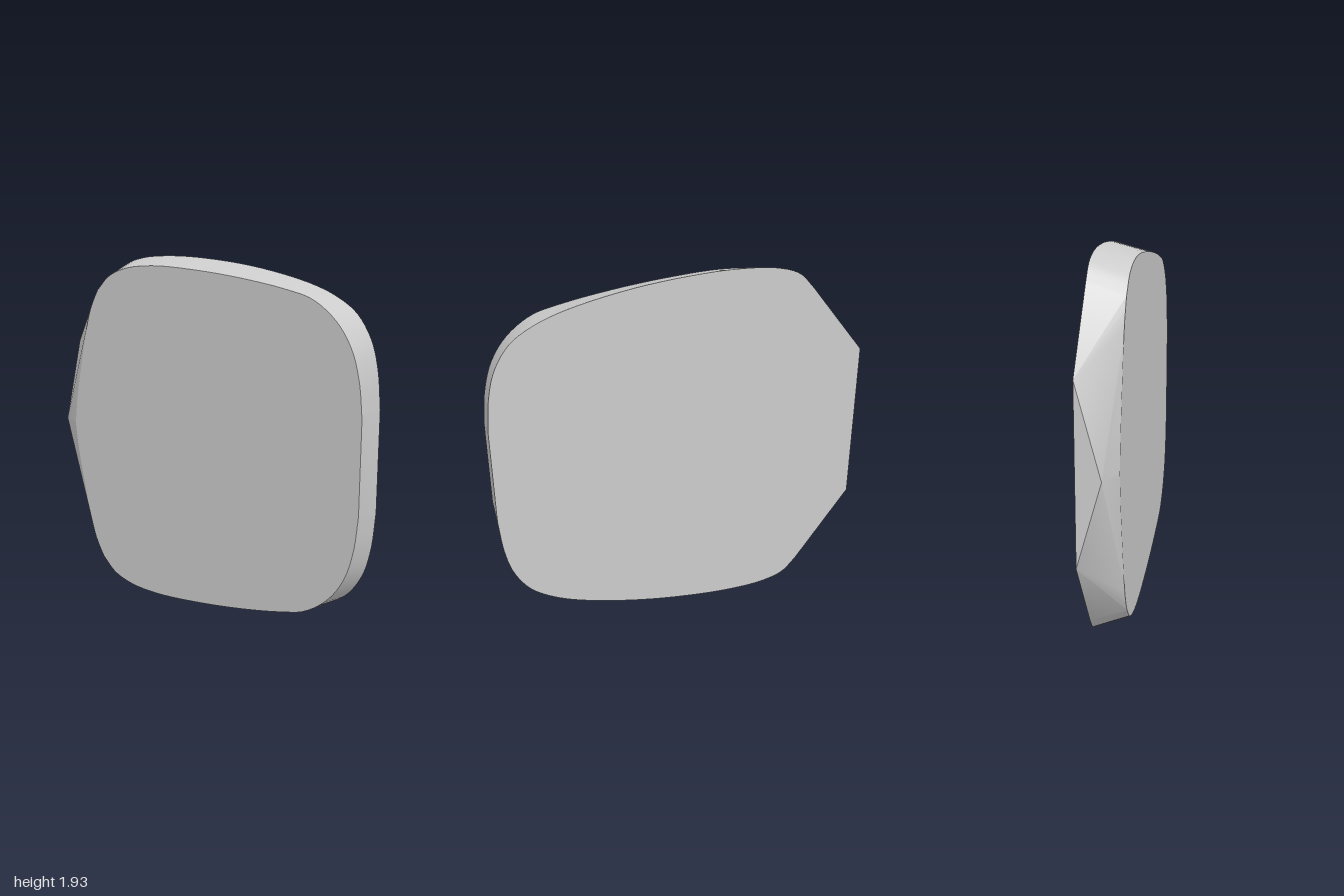
import * as THREE from 'three';
import { toCreasedNormals } from 'three/addons/utils/BufferGeometryUtils.js';

const Z = 0.09, MID = 0.965; // half thickness, mirror height

// smooth run through a few [x, y] points
const smooth = (pts, z) => new THREE.CatmullRomCurve3(
  pts.map(([x, y]) => new THREE.Vector3(x, y, z))).getPoints(48);

// upper half of the back rim and the matching front rim, from right to left
const backRim = smooth([[1, 1.22], [0.98, 1.41], [0.94, 1.55], [0.86, 1.67], [0.75, 1.745], [0.6, 1.805],
  [0.3, 1.875], [0, 1.915], [-0.28, 1.93], [-0.5, 1.915], [-0.62, 1.875], [-0.7, 1.795]], -Z);
const frontRim = smooth([[1, 1.2], [0.98, 1.37], [0.935, 1.52], [0.85, 1.645], [0.72, 1.74], [0.58, 1.78],
  [0.3, 1.83], [0, 1.865], [-0.26, 1.88], [-0.45, 1.865], [-0.58, 1.82], [-0.67, 1.74]], Z);
const frontNose = smooth([[-0.67, 1.74], [-0.71, 1.67], [-0.74, 1.6], [-0.8, 1.36], [-0.85, 1.12], [-0.87, MID]], Z);

const apex = new THREE.Vector3(-1, 0.97, 0.03);
const cornerTop = new THREE.Vector3(-1, 1.425, -Z);
const cornerLow = new THREE.Vector3(-1, 0.55, -Z);

function plateGeometry() {
  // pairs of [outer, front] points; the nose fans from the corner, then from the apex
  const top = backRim.map((b, i) => [b, frontRim[i]]);
  const split = 19;
  frontNose.forEach((f, i) => {
    if (i <= split) top.push([cornerTop, f]);
    if (i >= split) top.push([apex, f]);
  });
  const flip = (p) => p === apex ? apex : p === cornerTop ? cornerLow
    : new THREE.Vector3(p.x, 2 * MID - p.y, p.z);
  const low = top.map((pair) => pair.map(flip)).reverse();
  const loop = [...top, ...low];

  const pos = [];
  const tri = (a, b, c) => {
    const area = b.clone().sub(a).cross(c.clone().sub(a)).length();
    if (area > 1e-8) for (const p of [a, b, c]) pos.push(p.x, p.y, p.z);
  };
  const frontMid = new THREE.Vector3(0, MID, Z), backMid = new THREE.Vector3(0, MID, -Z);
  loop.forEach(([o, f], i) => {
    const [o2, f2] = loop[(i + 1) % loop.length];
    tri(o, o2, f2);
    tri(o, f2, f);
    tri(frontMid, f, f2);
    if (o !== apex && o2 !== apex) tri(backMid, o2, o);
  });
  // flat triangular end and the back strip beside it
  tri(cornerTop, cornerLow, apex);
  tri(backMid, cornerLow, cornerTop);

  const geo = new THREE.BufferGeometry();
  geo.setAttribute('position', new THREE.Float32BufferAttribute(pos, 3));
  return toCreasedNormals(geo, 0.35);
}

export function createModel() {
  const group = new THREE.Group();
  const plate = new THREE.Mesh(plateGeometry(), new THREE.MeshStandardMaterial({ color: 0xcccccc }));
  plate.name = 'bevelledPlate';
  group.add(plate);
  return group;
}
